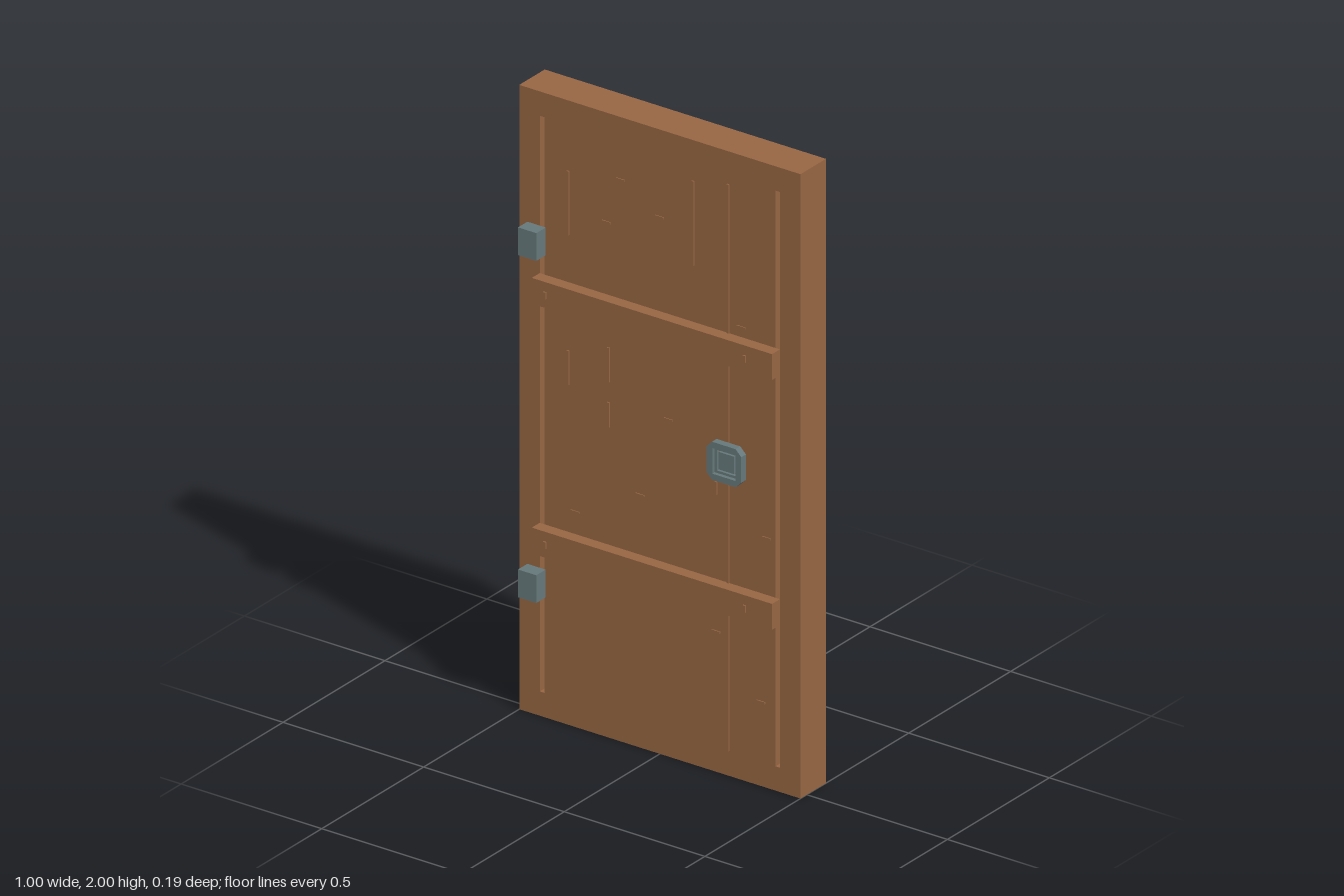
import * as THREE from 'three';

const wood = new THREE.MeshStandardMaterial({ color: 0x966642 });
wood.name = 'brown wood';
const iron = new THREE.MeshStandardMaterial({ color: 0x66787b });
iron.name = 'grey iron';

// Box given by its limits on each axis
function box(name, mat, x0, x1, y0, y1, z0, z1) {
  const mesh = new THREE.Mesh(new THREE.BoxGeometry(x1 - x0, y1 - y0, z1 - z0), mat);
  mesh.position.set((x0 + x1) / 2, (y0 + y1) / 2, (z0 + z1) / 2);
  mesh.name = name;
  return mesh;
}

// Rectangle with cut corners
function outline(Type, w, h, cut) {
  const pts = cut
    ? [[-w + cut, -h], [w - cut, -h], [w, -h + cut], [w, h - cut], [w - cut, h], [-w + cut, h], [-w, h - cut], [-w, -h + cut]]
    : [[-w, -h], [w, -h], [w, h], [-w, h]];
  return new Type().setFromPoints(pts.map(([x, y]) => new THREE.Vector2(x, y)));
}

// Flat plate with a rectangular opening
function ring(name, mat, w, h, cut, holeW, holeH, z0, z1) {
  const shape = outline(THREE.Shape, w, h, cut);
  shape.holes.push(outline(THREE.Path, holeW, holeH, 0));
  const geo = new THREE.ExtrudeGeometry(shape, { depth: z1 - z0, bevelEnabled: false });
  const mesh = new THREE.Mesh(geo, mat);
  mesh.position.z = z0;
  mesh.name = name;
  return mesh;
}

export function createModel() {
  const door = new THREE.Group();
  door.name = 'door';
  const front = 0.031;

  // Surround and the slab inside it, with a narrow slit at each side
  const frame = ring('frame', wood, 0.5, 1, 0, 0.427, 0.922, -0.094, front);
  frame.position.y = 1;
  door.add(frame, box('panel', wood, -0.411, 0.411, 0.078, 1.922, -0.041, front));

  // Cross bars with a nail near each end
  for (const y of [0.535, 1.335]) {
    door.add(box('crossBar', wood, -0.427, 0.427, y, y + 0.083, front, 0.07));
    for (const x of [-0.38, 0.33]) {
      door.add(box('nail', wood, x - 0.005, x + 0.005, y + 0.03, y + 0.052, 0.07, 0.075));
    }
  }

  // Long grain ridges: x, bottom, top
  const ridges = [
    [0.247, 0.08, 1.895], [-0.322, 1.57, 1.775], [0.123, 1.6, 1.87], [-0.322, 1.09, 1.2],
    [-0.178, 1.14, 1.25], [-0.178, 0.995, 1.075], [0.205, 0.89, 0.93],
  ];
  for (const [x, y0, y1] of ridges) {
    door.add(box('grainRidge', wood, x - 0.008, x, y0, y1, front, front + 0.004));
  }

  // Small flecks in the grain: x, y
  const flecks = [
    [-0.19, 1.65], [0, 1.72], [0.29, 1.45], [0.03, 1.08], [-0.3, 0.69],
    [0.38, 0.8], [0.2, 0.45], [0.36, 0.27], [-0.14, 1.8], [-0.07, 0.81],
  ];
  for (const [x, y] of flecks) {
    door.add(box('grainFleck', wood, x - 0.015, x + 0.015, y - 0.003, y + 0.003, front, front + 0.003));
  }

  // Hinges
  for (const y of [0.385, 1.481]) {
    door.add(box('hinge', iron, -0.471, -0.406, y, y + 0.089, front, 0.077));
  }

  // Handle: cut-corner plate, inner rim and centre stud
  const handle = new THREE.Group();
  handle.name = 'handle';
  handle.position.set(0.273, 1.03, 0);
  handle.add(
    ring('handlePlate', iron, 0.062, 0.061, 0.02, 0.041, 0.041, 0.071, 0.094),
    ring('handleRim', iron, 0.041, 0.041, 0, 0.033, 0.033, 0.071, 0.082),
    box('handleStud', iron, -0.028, 0.028, -0.028, 0.028, 0.071, 0.082),
  );
  door.add(handle);
  return door;
}
